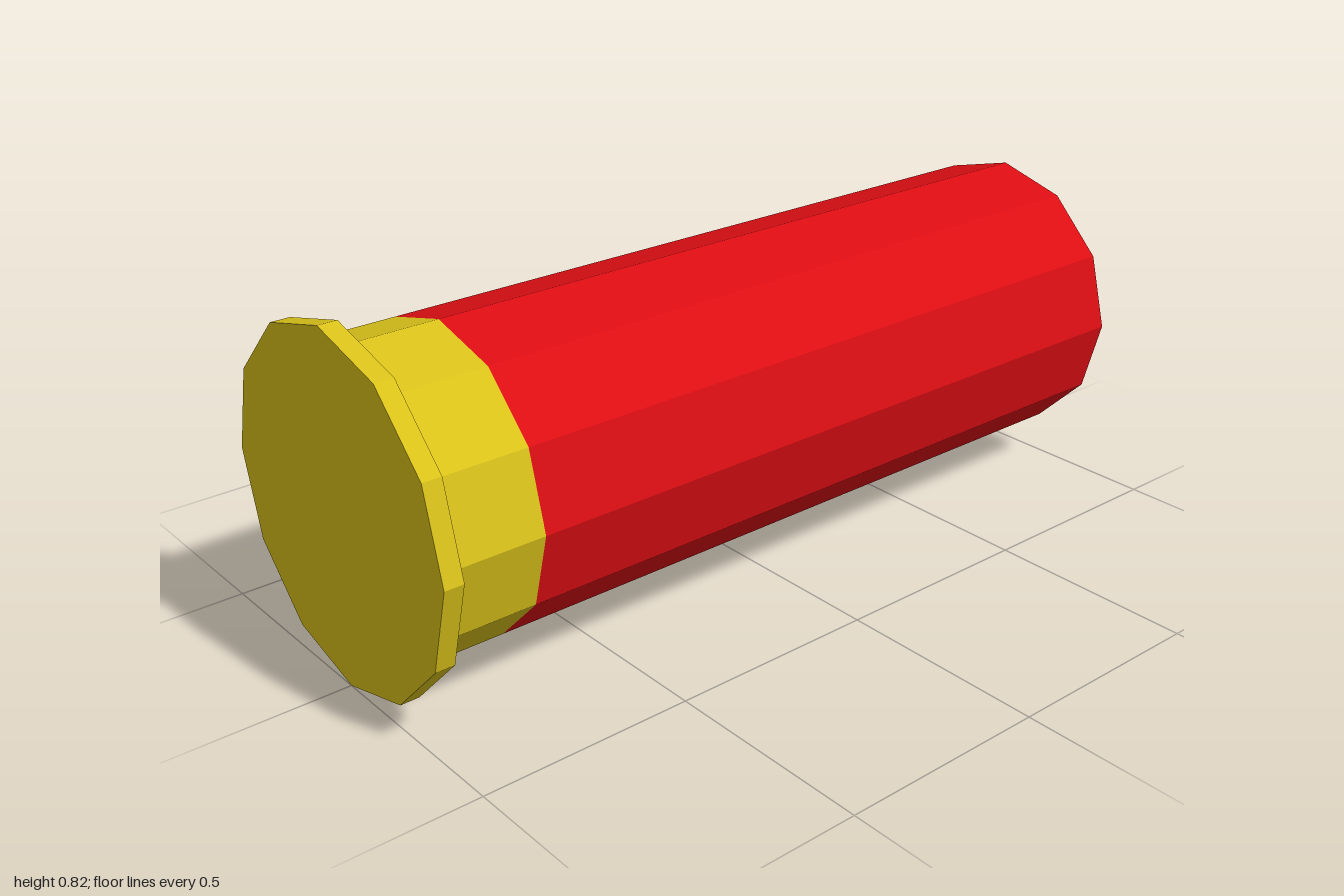
import * as THREE from 'three';

const SIDES = 12;
const RIM = 0.408, BODY = 0.353, BORE = 0.283; // radii

// Faceted ring of surfaces around the z axis; profile is [radius, z], running from back to front.
function turned(name, color, profile) {
  const points = profile.map(([r, z]) => new THREE.Vector2(r, z));
  const geometry = new THREE.LatheGeometry(points, SIDES).rotateX(Math.PI / 2);
  const mesh = new THREE.Mesh(geometry, new THREE.MeshStandardMaterial({ color, flatShading: true }));
  mesh.name = name;
  mesh.position.y = RIM;
  return mesh;
}

export function createModel() {
  const model = new THREE.Group();
  model.name = 'shell';

  // Dark plug recessed in the open end
  model.add(turned('plug', 0x0a0a0a, [[0, -0.95], [BORE, -0.95]]));

  // Red hull with its short bore and mouth ring
  model.add(turned('hull', 0xdc0e14, [[BORE, -0.95], [BORE, -1], [BODY, -1], [BODY, 0.73]]));

  // Brass collar, flange and flat head
  model.add(turned('brassBase', 0xdac21a,
    [[BODY, 0.73], [BODY, 0.955], [RIM, 0.955], [RIM, 1], [0, 1]]));

  return model;
}
